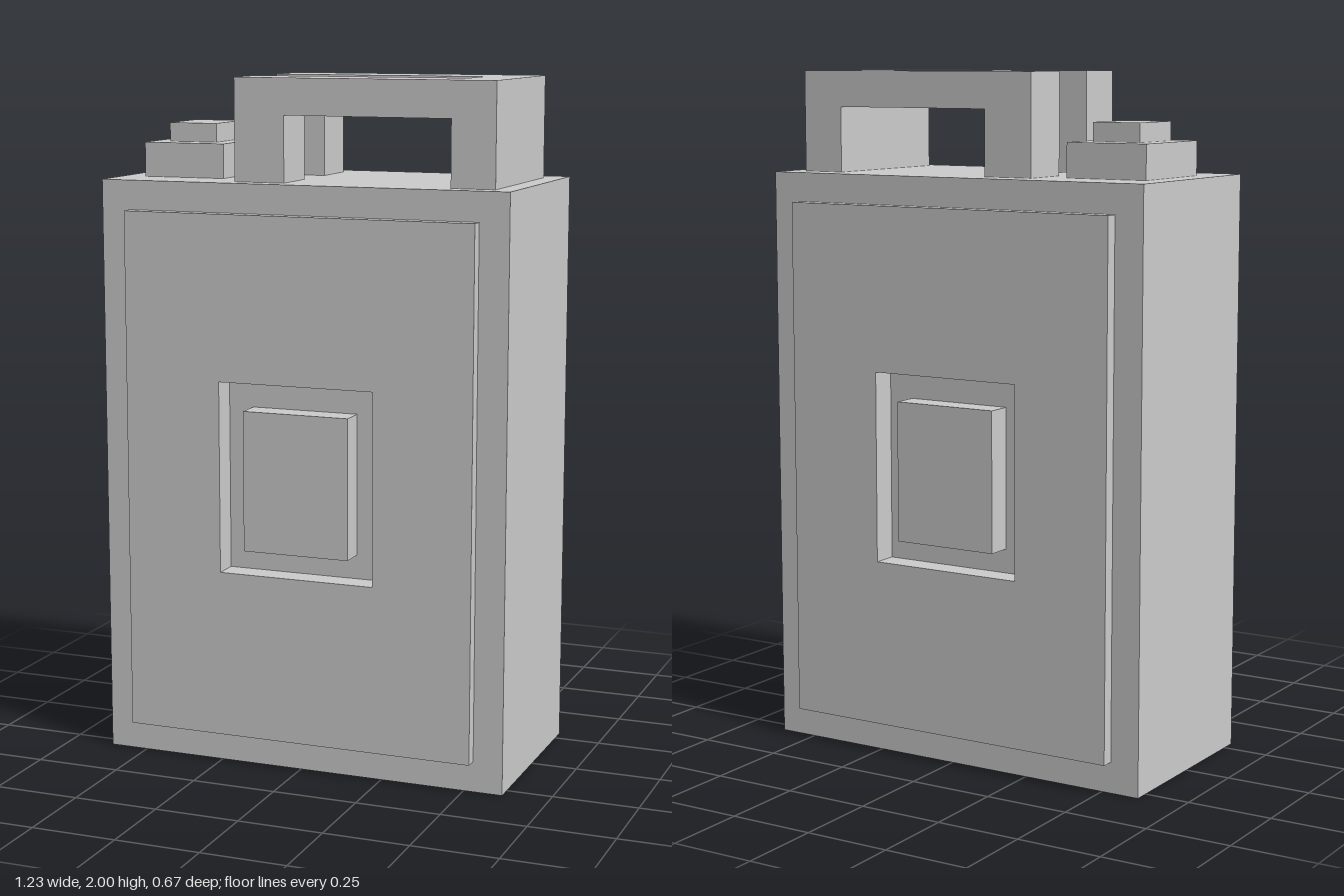
import * as THREE from 'three';

const material = new THREE.MeshStandardMaterial({ color: 0xcccccc, flatShading: true });

// Box given by its minimum and maximum on each axis
function box(name, [x0, x1], [y0, y1], [z0, z1]) {
  const mesh = new THREE.Mesh(new THREE.BoxGeometry(x1 - x0, y1 - y0, z1 - z0), material);
  mesh.position.set((x0 + x1) / 2, (y0 + y1) / 2, (z0 + z1) / 2);
  mesh.name = name;
  return mesh;
}

// Outline in x and y, extruded from z0 to z1
function slab(name, shape, z0, z1) {
  const geometry = new THREE.ExtrudeGeometry(shape, { depth: z1 - z0, bevelEnabled: false });
  const mesh = new THREE.Mesh(geometry, material);
  mesh.position.z = z0;
  mesh.name = name;
  return mesh;
}

const rectPoints = (w, y0, y1) => [[-w, y0], [w, y0], [w, y1], [-w, y1]].map(p => new THREE.Vector2(...p));

// Rectangle with the badge opening cut out
function framedShape(w, y0, y1) {
  const shape = new THREE.Shape(rectPoints(w, y0, y1));
  shape.holes.push(new THREE.Path(rectPoints(0.235, 0.58, 1.14)));
  return shape;
}

export function createModel() {
  const group = new THREE.Group();
  group.name = 'fuelCan';
  const top = 1.705, bodyZ = 0.295, panelZ = 0.333, floorZ = 0.257;

  // Body, with the recess floors closing its opening
  group.add(slab('body', framedShape(0.615, 0, top), -bodyZ, bodyZ));
  group.add(box('recessFloor', [-0.235, 0.235], [0.58, 1.14], [-floorZ, floorZ]));

  // Raised panel and central block on front and back
  for (const [side, s] of [['front', 1], ['back', -1]]) {
    const span = (a, b) => (s > 0 ? [a, b] : [-b, -a]);
    group.add(slab(side + 'Panel', framedShape(0.528, 0.09, 1.62), ...span(bodyZ, panelZ)));
    group.add(box(side + 'Block', [-0.16, 0.16], [0.65, 1.06], span(floorZ, panelZ)));
  }

  // Stepped filler cap
  group.add(box('capBase', [-0.547, -0.296], [top, 1.805], [-0.155, 0.15]));
  group.add(box('capKnob', [-0.495, -0.346], [1.805, 1.86], [-0.095, 0.088]));

  // Handle: two arms on legs, joined by a solid end
  const handle = new THREE.Group();
  handle.name = 'handle';
  const arm = new THREE.Shape([
    [-0.22, top], [-0.068, top], [-0.068, 1.895], [0.428, 1.895], [0.428, 2], [-0.22, 2],
  ].map(p => new THREE.Vector2(...p)));
  handle.add(slab('backArm', arm, -0.222, -0.066));
  handle.add(slab('frontArm', arm, 0.089, 0.243));
  handle.add(box('handleEnd', [0.428, 0.557], [top, 2], [-0.222, 0.243]));
  group.add(handle);

  return group;
}
